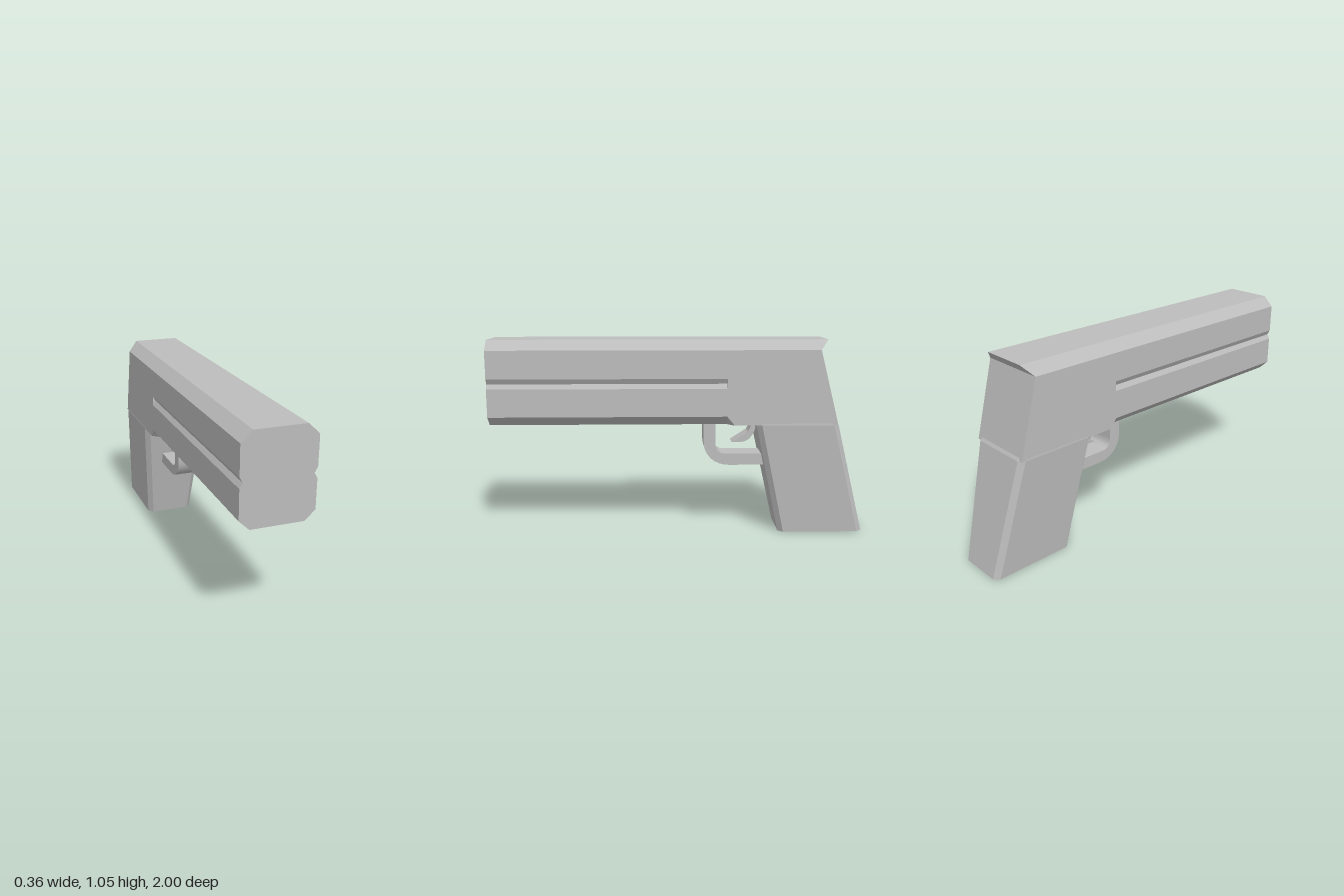
import * as THREE from 'three';
import { toCreasedNormals } from 'three/addons/utils/BufferGeometryUtils.js';

const gray = new THREE.MeshStandardMaterial({ color: 0xbcbcbc });
gray.name = 'plain gray';

// Closed faceted loft; each section lists its +x half and is mirrored to -x.
function loft(sections) {
  const rings = sections.map(half => [...half, ...half.map(([x, y, z]) => [-x, y, z]).reverse()]);
  const pos = [];
  const quad = (a, b, c, d) => pos.push(...a, ...b, ...c, ...a, ...c, ...d);
  for (let r = 0; r < rings.length - 1; r++) {
    const a = rings[r], b = rings[r + 1], n = a.length;
    for (let i = 0; i < n; i++) {
      const j = (i + 1) % n;
      quad(a[i], b[i], b[j], a[j]);
    }
  }
  // End caps as strips between mirrored points
  const first = rings[0], last = rings[rings.length - 1], n = first.length;
  for (let k = 0; k < n / 2 - 1; k++) {
    quad(first[k], first[k + 1], first[n - 2 - k], first[n - 1 - k]);
    quad(last[n - 1 - k], last[n - 2 - k], last[k + 1], last[k]);
  }
  const g = new THREE.BufferGeometry();
  g.setAttribute('position', new THREE.Float32BufferAttribute(pos, 3));
  g.computeVertexNormals();
  return g;
}

// Extrude a (z, y) side profile across x, centred.
function sideExtrude(shape, width) {
  const g = new THREE.ExtrudeGeometry(shape, { depth: width, bevelEnabled: false, curveSegments: 8 });
  g.translate(0, 0, -width / 2);
  g.rotateY(-Math.PI / 2);
  return toCreasedNormals(g, 0.6);
}

export function createModel() {
  const group = new THREE.Group();
  const add = (name, geometry) => {
    const mesh = new THREE.Mesh(geometry, gray);
    mesh.name = name;
    group.add(mesh);
  };

  // Body: chamfered bar with side grooves, solid at the rear
  const W = 0.18;
  const barrel = (z, groove) => [
    [0.13, 0.6, z], [W, 0.648, z], [W, 0.795, z], [groove, 0.82, z],
    [W, 0.847, z], [W, 0.995, z], [0.125, 1.047, z],
  ];
  const rear = zAt => [0.6, 0.6, 0.795, 0.82, 0.847, 0.995, 1.047]
    .map((y, i) => [i === 6 ? 0.125 : W, y, zAt(y)]);
  const backSlope = y => (y > 1 ? -0.78 : -0.735 - (0.995 - y) * 0.26);
  add('body', loft([
    barrel(1, 0.165), barrel(-0.25, 0.165), barrel(-0.25, W),
    rear(() => -0.29), rear(backSlope),
  ]));

  // Grip: tapered, raked, with bevelled corners
  const gripRing = (y, w, zf, zb) => [
    [w - 0.026, y, zf], [w, y, zf - 0.027], [w, y, zb + 0.027], [w - 0.026, y, zb],
  ];
  add('grip', loft([
    gripRing(0.618, 0.179, -0.41, -0.832),
    gripRing(0.6, 0.181, -0.408, -0.844),
    gripRing(0, 0.136, -0.54, -1),
  ]));

  // Trigger guard: bent strap
  const guard = new THREE.Shape();
  guard.moveTo(-0.133, 0.61);
  guard.lineTo(-0.133, 0.49);
  guard.bezierCurveTo(-0.133, 0.42, -0.19, 0.363, -0.27, 0.363);
  guard.lineTo(-0.49, 0.363);
  guard.lineTo(-0.47, 0.425);
  guard.lineTo(-0.255, 0.425);
  guard.bezierCurveTo(-0.215, 0.425, -0.197, 0.445, -0.197, 0.485);
  guard.lineTo(-0.197, 0.61);
  guard.closePath();
  add('triggerGuard', sideExtrude(guard, 0.142));

  // Trigger: hooked crescent
  const trigger = new THREE.Shape();
  trigger.moveTo(-0.393, 0.61);
  trigger.quadraticCurveTo(-0.39, 0.545, -0.365, 0.535);
  trigger.lineTo(-0.287, 0.485);
  trigger.lineTo(-0.335, 0.485);
  trigger.bezierCurveTo(-0.385, 0.488, -0.415, 0.53, -0.425, 0.61);
  trigger.closePath();
  add('trigger', sideExtrude(trigger, 0.1));

  return group;
}
